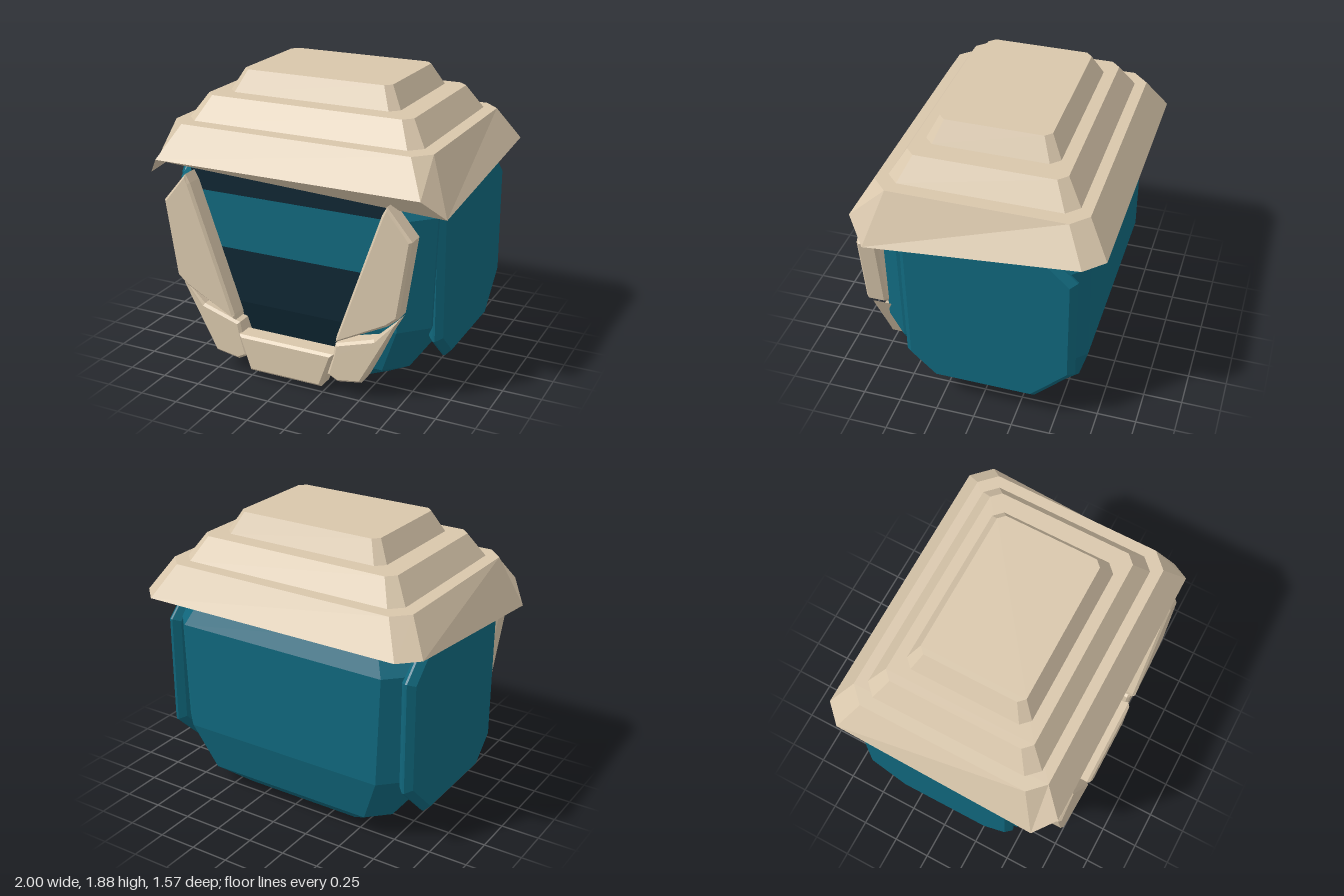
import * as THREE from 'three';

const mat = (name, color, extra = {}) => Object.assign(new THREE.MeshStandardMaterial({ color, ...extra }), { name });

// Rectangle ring with cut corners: eight points, counter-clockwise from above
function ring(y, hx, hz, c, dropFrontSides = 0) {
  const a = hx - c, b = hz - c;
  return [[-a, hz], [a, hz], [hx, b], [hx, -b], [a, -hz], [-a, -hz], [-hx, -b], [-hx, b]]
    .map(([x, z], i) => [x, i === 2 || i === 7 ? y - dropFrontSides : y, z]);
}

// Flat-faced solid through rings listed from bottom to top, with both ends closed
function loft(rings) {
  const pos = [];
  const tri = (...pts) => pts.forEach((p) => pos.push(...p));
  for (let r = 0; r < rings.length - 1; r++) {
    const lo = rings[r], hi = rings[r + 1];
    for (let i = 0; i < 8; i++) {
      const j = (i + 1) % 8;
      tri(lo[i], lo[j], hi[j]);
      tri(lo[i], hi[j], hi[i]);
    }
  }
  const bottom = rings[0], top = rings[rings.length - 1];
  for (let i = 1; i < 7; i++) {
    tri(bottom[0], bottom[i + 1], bottom[i]);
    tri(top[0], top[i], top[i + 1]);
  }
  const g = new THREE.BufferGeometry();
  g.setAttribute('position', new THREE.Float32BufferAttribute(pos, 3));
  g.computeVertexNormals();
  return g;
}

// Plate with bevelled rims, filling z0..z1 and the full outline
function plate(points, z0, z1, bevel) {
  const shape = new THREE.Shape(points.map(([x, y]) => new THREE.Vector2(x, y)));
  const g = new THREE.ExtrudeGeometry(shape, {
    depth: z1 - z0 - 2 * bevel, bevelEnabled: true, bevelSegments: 1,
    bevelSize: bevel, bevelThickness: bevel, bevelOffset: -bevel,
  });
  return g.translate(0, 0, z0 + bevel);
}

export function createModel() {
  const model = new THREE.Group();
  model.name = 'hattedHelmet';
  const beige = mat('beige', 0xd8c6ab);
  const teal = mat('teal', 0x10677c);
  const navy = mat('navy', 0x0e2632, { side: THREE.DoubleSide });
  const band = mat('visorTeal', 0x10677c, { side: THREE.DoubleSide });

  const add = (name, geometry, material) => {
    const m = new THREE.Mesh(geometry, material);
    m.name = name;
    model.add(m);
    return m;
  };

  // Helmet shell
  add('shell', loft([
    ring(0, 0.51, 0.42, 0.1),
    ring(0.143, 0.705, 0.58, 0.13),
    ring(0.457, 0.86, 0.66, 0.16),
    ring(1.17, 0.885, 0.66, 0.16),
    ring(1.36, 0.78, 0.57, 0.14),
  ]), teal);

  // Side panels, outline in (-z, y)
  const panel = [[-0.4, 1.31], [0.46, 1.31], [0.62, 1.16], [0.62, 0.435],
    [0.365, 0.18], [-0.29, 0.18], [-0.475, 0.355], [-0.485, 1.19]];
  for (const s of [1, -1]) {
    const g = plate(panel, -0.047, 0.047, 0.04).rotateY(Math.PI / 2).translate(s * 0.868, 0, 0);
    add(s > 0 ? 'leftSidePanel' : 'rightSidePanel', g, teal);
  }

  // Visor: upright strips narrowing downwards
  const halfWidth = (y) => 0.39 + (y - 0.38) * 0.34;
  const strip = (name, y0, z0, y1, z1, material) => {
    const a = halfWidth(y0), b = halfWidth(y1);
    const g = new THREE.BufferGeometry();
    g.setAttribute('position', new THREE.Float32BufferAttribute(
      [-a, y0, z0, a, y0, z0, b, y1, z1, -b, y1, z1], 3));
    g.setIndex([0, 1, 2, 0, 2, 3]);
    g.computeVertexNormals();
    add(name, g, material);
  };
  strip('visorTop', 1.17, 0.664, 1.3, 0.664, navy);
  strip('visorBand', 0.81, 0.664, 1.17, 0.664, band);
  strip('visorMiddle', 0.46, 0.666, 0.81, 0.664, navy);
  strip('visorBottom', 0.2, 0.612, 0.46, 0.666, navy);

  // Face guard: upper and lower cheeks on both sides, chin in the middle
  const upperCheek = [[0.675, 1.295], [0.835, 1.105], [0.76, 0.61], [0.69, 0.55], [0.35, 0.375], [0.355, 0.41], [0.645, 1.24]];
  const lowerCheek = [[0.74, 0.575], [0.59, 0.43], [0.335, 0.35], [0.32, 0.27], [0.28, 0.13], [0.35, 0.093], [0.51, 0.12]];
  for (const s of [1, -1]) {
    const side = s > 0 ? 'left' : 'right';
    const mirror = (pts) => pts.map(([x, y]) => [s * x, y]);
    add(side + 'UpperCheek', plate(mirror(upperCheek), 0.65, 0.785, 0.016), beige);
    add(side + 'LowerCheek', plate(mirror(lowerCheek), 0.6, 0.755, 0.016), beige);
  }
  add('chinGuard', plate([[-0.33, 0.28], [-0.25, 0.045], [0.25, 0.045], [0.33, 0.28]], 0.64, 0.78, 0.018), beige);

  // Three hat tiers, the lowest dipping at its front side corners
  add('hatBrim', loft([ring(1.36, 1, 0.783, 0.118, 0.13), ring(1.57, 0.865, 0.652, 0.1)]), beige);
  add('hatMiddle', loft([ring(1.58, 0.79, 0.583, 0.076), ring(1.73, 0.692, 0.488, 0.055)]), beige);
  add('hatTop', loft([ring(1.745, 0.575, 0.412, 0.055), ring(1.88, 0.5, 0.343, 0.04)]), beige);

  return model;
}
